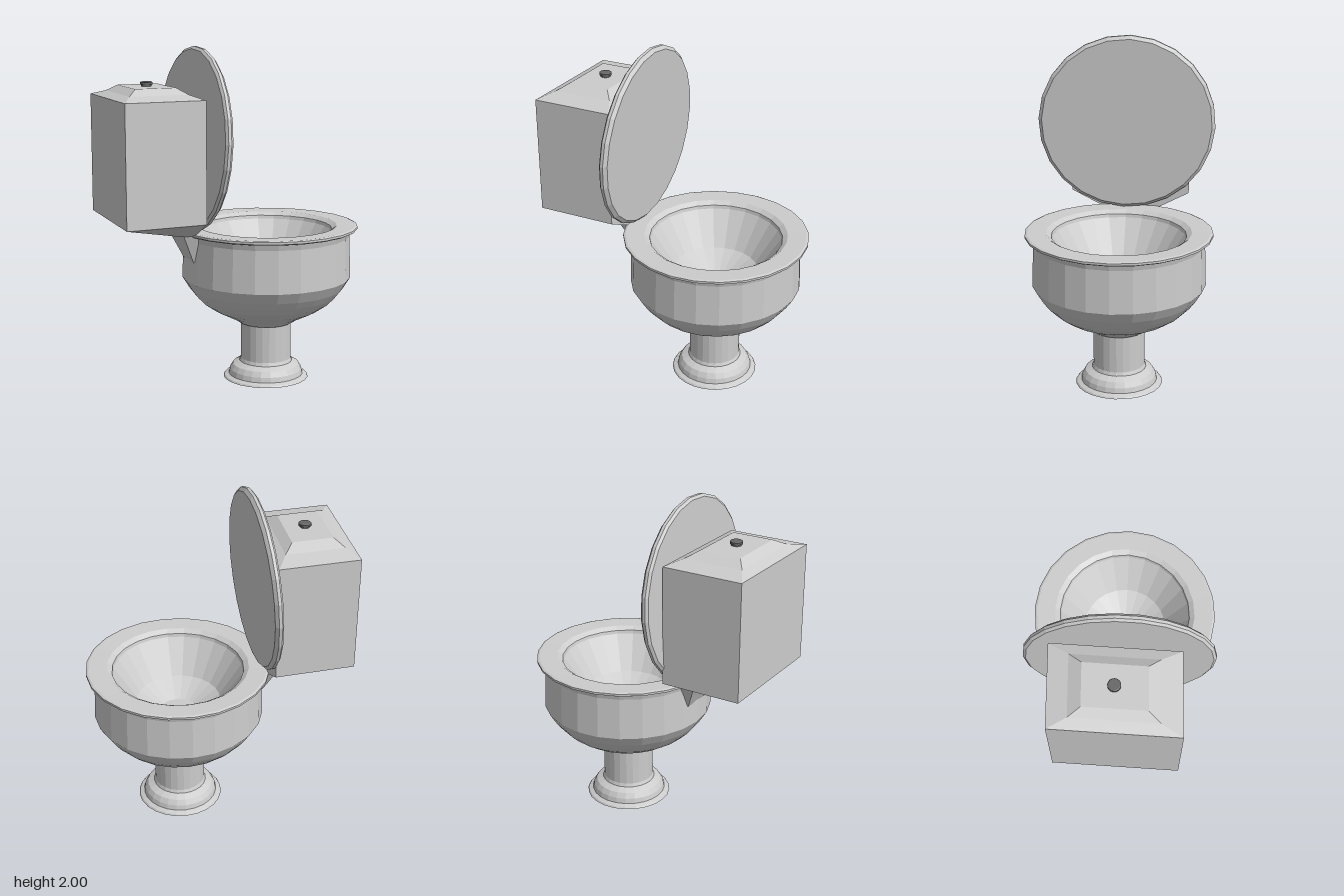
import * as THREE from 'three';

const SIDES = 24;

// Give every facet its own flat normal
function faceted(geometry) {
  const flat = geometry.index ? geometry.toNonIndexed() : geometry;
  flat.computeVertexNormals();
  return flat;
}

function lathe(profile, sides = SIDES) {
  const points = profile.map(([r, y]) => new THREE.Vector2(r, y));
  return faceted(new THREE.LatheGeometry(points, sides));
}

// Loft of four-cornered sections [y, x0, x1, z0, z1] from bottom to top.
// The slight shear skews the body as it runs along x.
function loft(sections, shear = 0, pivot = 0) {
  const positions = [], index = [];
  for (const [y, x0, x1, z0, z1] of sections) {
    for (const [x, z] of [[x0, z1], [x1, z1], [x1, z0], [x0, z0]]) {
      positions.push(x, y, z + shear * (x - pivot));
    }
  }
  for (let s = 0; s < sections.length - 1; s++) {
    for (let i = 0; i < 4; i++) {
      const a = s * 4 + i, b = s * 4 + (i + 1) % 4;
      index.push(a, b, b + 4, a, b + 4, a + 4);
    }
  }
  const t = (sections.length - 1) * 4;
  index.push(0, 2, 1, 0, 3, 2, t, t + 1, t + 2, t, t + 2, t + 3);
  const geometry = new THREE.BufferGeometry();
  geometry.setAttribute('position', new THREE.Float32BufferAttribute(positions, 3));
  geometry.setIndex(index);
  return faceted(geometry);
}

export function createModel() {
  const model = new THREE.Group();
  model.name = 'toilet';

  const porcelain = new THREE.MeshStandardMaterial({ color: 0xcccccc });
  porcelain.name = 'light grey porcelain';
  const metal = new THREE.MeshStandardMaterial({ color: 0x666666 });
  metal.name = 'dark grey metal';

  function add(name, geometry, material, x = 0, y = 0, z = 0) {
    const mesh = new THREE.Mesh(geometry, material);
    mesh.name = name;
    mesh.position.set(x, y, z);
    model.add(mesh);
    return mesh;
  }

  // Foot, column, bowl, rim and hollow as one turned shape
  add('bowl', lathe([
    [0, 0], [0.257, 0], [0.25, 0.01], [0.225, 0.02], [0.218, 0.05],
    [0.2, 0.08], [0.16, 0.1], [0.152, 0.12], [0.152, 0.34], [0.165, 0.345],
    [0.2, 0.37], [0.32, 0.43], [0.385, 0.475], [0.43, 0.52], [0.465, 0.565],
    [0.505, 0.63], [0.496, 0.88], [0.505, 0.918], [0.53, 0.918], [0.543, 0.925],
    [0.543, 0.938], [0.53, 0.943], [0.42, 0.94], [0.39, 0.92], [0.385, 0.9],
    [0.25, 0.7], [0.11, 0.62], [0, 0.62],
  ]), porcelain, 0.214, 0, -0.002);

  // Raised lid, leaning slightly
  const lid = add('lid', lathe([
    [0, -0.024], [0.515, -0.024], [0.53, -0.012], [0.53, 0.006],
    [0.51, 0.024], [0, 0.024],
  ]), porcelain, -0.243, 1.47, 0);
  lid.quaternion.setFromUnitVectors(
    new THREE.Vector3(0, 1, 0),
    new THREE.Vector3(1, -0.043, -0.043).normalize(),
  );

  // Cistern with tapered underside and stepped top
  add('tank', loft([
    [0.93, -0.36, -0.29, -0.17, 0.16],
    [1.03, -0.757, -0.288, -0.362, 0.352],
    [1.72, -0.757, -0.288, -0.362, 0.352],
    [1.745, -0.695, -0.35, -0.25, 0.235],
    [1.78, -0.643, -0.403, -0.18, 0.17],
  ], -0.057, -0.52), porcelain);

  // Bracket joining the cistern to the bowl
  add('bracket', loft([
    [0.76, -0.28, -0.24, -0.09, 0.09],
    [0.935, -0.36, -0.25, -0.16, 0.15],
  ]), porcelain);

  // Flush button
  add('flushButton', lathe([
    [0, -0.005], [0.029, -0.005], [0.029, 0.008], [0.036, 0.01], [0.036, 0.022], [0.03, 0.026], [0, 0.026],
  ], 16), metal, -0.522, 1.78, -0.008);

  return model;
}
